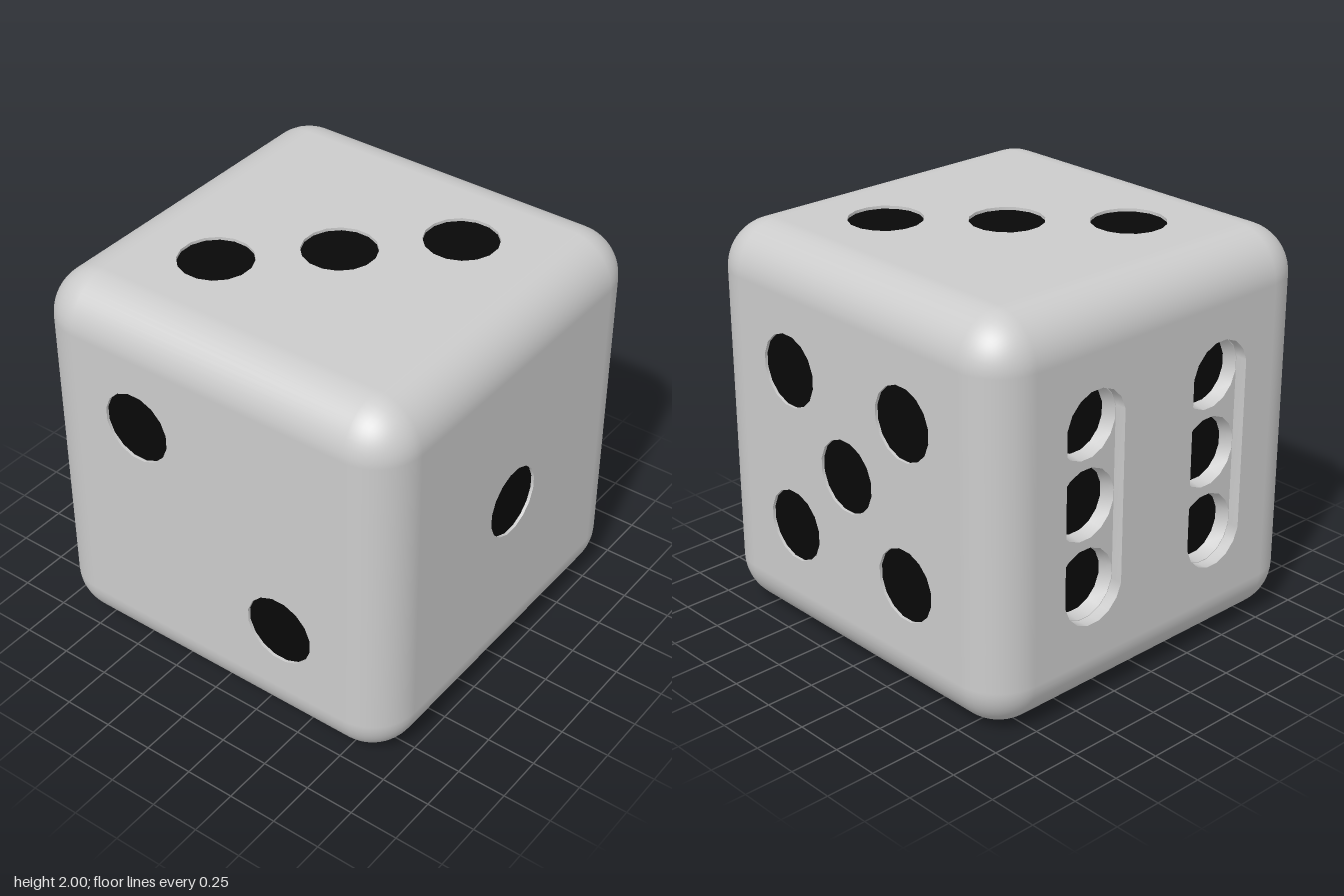
import * as THREE from 'three';
import { RoundedBoxGeometry } from 'three/addons/geometries/RoundedBoxGeometry.js';

const R = 0.24;          // edge rounding
const PIP = 0.181;       // pip radius
const grey = new THREE.MeshStandardMaterial({ color: 0xcccccc });
const black = new THREE.MeshStandardMaterial({ color: 0x080808 });

function mesh(name, geometry, material = grey) {
  const m = new THREE.Mesh(geometry, material);
  m.name = name;
  return m;
}

// Counter-clockwise outline of a pip, stretched up and down by half into a slot
function outline(x, y, r, half = 0) {
  const pts = [];
  for (let i = 0; i < 16; i++) {
    const a = ((i + 0.5) / 16) * Math.PI * 2;
    pts.push(new THREE.Vector2(x + r * Math.cos(a), y + r * Math.sin(a) + (i < 8 ? half : -half)));
  }
  return pts;
}

// Inward-facing wall between two outlines at heights z0 (upper) and z1 (lower)
function wall(upper, z0, lower, z1) {
  const pos = [], index = [], n = upper.length;
  upper.forEach((p) => pos.push(p.x, p.y, z0));
  lower.forEach((p) => pos.push(p.x, p.y, z1));
  for (let i = 0; i < n; i++) {
    const j = (i + 1) % n;
    index.push(i, j, n + i, j, n + j, n + i);
  }
  const g = new THREE.BufferGeometry();
  g.setAttribute('position', new THREE.Float32BufferAttribute(pos, 3));
  g.setIndex(index);
  g.computeVertexNormals();
  return g;
}

// Flat sheet at height z with holes cut in it
function sheet(points, holes, z) {
  const shape = new THREE.Shape(points);
  holes.forEach((h) => shape.holes.push(new THREE.Path(h)));
  return new THREE.ShapeGeometry(shape).translate(0, 0, z);
}

// Rounded edges and corners: a rounded box without its six flat panels
function roundedEdges() {
  const src = new RoundedBoxGeometry(2, 2, 2, 6, R);
  const box = src.index ? src.toNonIndexed() : src;
  const p = box.attributes.position.array, n = box.attributes.normal.array;
  const pos = [], nor = [];
  for (let t = 0; t < p.length; t += 9) {
    const flat = [0, 1, 2].some((k) =>
      [0, 3, 6].every((v) => Math.abs(p[t + v + k]) > 0.99999));
    if (flat) continue;
    for (let i = t; i < t + 9; i++) { pos.push(p[i]); nor.push(n[i]); }
  }
  const g = new THREE.BufferGeometry();
  g.setAttribute('position', new THREE.Float32BufferAttribute(pos, 3));
  g.setAttribute('normal', new THREE.Float32BufferAttribute(nor, 3));
  return g;
}

// One side, built facing +z, with shallow round pips
function pipFace(name, pips) {
  const g = new THREE.Group();
  g.name = name;
  const h = 1 - R;
  const square = [[-h, -h], [h, -h], [h, h], [-h, h]].map(([x, y]) => new THREE.Vector2(x, y));
  const rings = pips.map(([x, y]) => outline(x, y, PIP));
  g.add(mesh('panel', sheet(square, rings, 1)));
  rings.forEach((ring) => {
    g.add(mesh('pipRim', wall(ring, 1, ring, 0.985)));
    g.add(mesh('pip', sheet(ring, [], 0.985), black));
  });
  return g;
}

// The six side: two slots, each with three deeper pips
function slotFace(name) {
  const g = new THREE.Group();
  g.name = name;
  const h = 1 - R, ledge = 0.94, floor = 0.87;
  const square = [[-h, -h], [h, -h], [h, h], [-h, h]].map(([x, y]) => new THREE.Vector2(x, y));
  const slots = [-0.4, 0.4].map((x) => outline(x, 0, PIP, 0.4));
  g.add(mesh('panel', sheet(square, slots, 1)));
  [-0.4, 0.4].forEach((x, k) => {
    const rings = [-0.4, 0, 0.4].map((y) => outline(x, y, 0.178));
    g.add(mesh('slotWall', wall(slots[k], 1, slots[k], ledge)));
    g.add(mesh('slotLedge', sheet(slots[k], rings, ledge)));
    rings.forEach((ring, i) => {
      const bottom = outline(x, (i - 1) * 0.4, 0.165);
      g.add(mesh('pipWall', wall(ring, ledge, bottom, floor)));
      g.add(mesh('pip', sheet(bottom, [], floor), black));
    });
  });
  return g;
}

export function createModel() {
  const die = new THREE.Group();
  die.name = 'die';
  const body = new THREE.Group();
  body.name = 'body';
  body.position.y = 1;
  die.add(body);
  body.add(mesh('roundedEdges', roundedEdges()));

  const d = 0.4, q = Math.PI / 2;
  const diagonal = [[-d, d], [d, -d]];
  const corners = [...diagonal, [d, d], [-d, -d]];
  const place = (face, rx, ry) => {
    face.rotation.set(rx, ry, 0);
    body.add(face);
  };
  place(pipFace('frontOne', [[0, 0]]), 0, 0);
  place(pipFace('sideFive', [...corners, [0, 0]]), 0, q);
  place(pipFace('sideTwo', diagonal), 0, -q);
  place(pipFace('topThree', [...diagonal, [0, 0]]), -q, 0);
  place(pipFace('bottomFour', corners), q, 0);
  place(slotFace('backSix'), 0, Math.PI);
  return die;
}
